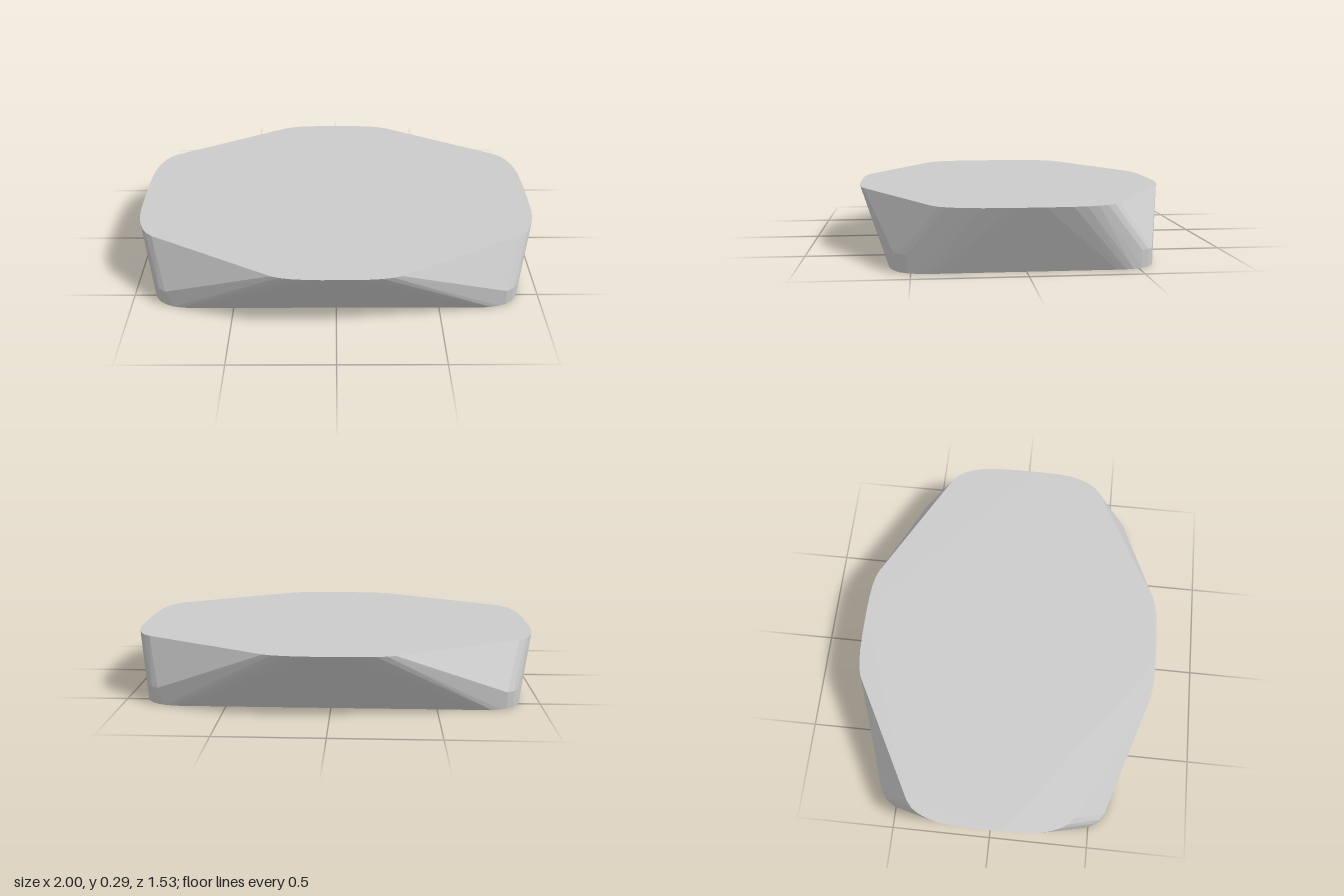
import * as THREE from 'three';
import { ConvexGeometry } from 'three/addons/geometries/ConvexGeometry.js';

// Quarter outlines as [x, z]; the other three quarters are mirrored.
const TOP = [[0.07, 0.765], [0.15, 0.762], [0.21, 0.757], [0.26, 0.748], [0.30, 0.735],
  [0.90, 0.41], [0.935, 0.38], [0.957, 0.345], [0.975, 0.30], [0.988, 0.25], [0.996, 0.19], [1, 0.07]];
const CORNER = [[0.83, 0.574], [0.864, 0.549], [0.888, 0.515]];
const BASE = [[0.71, 0.6], [0.755, 0.597], [0.795, 0.587], ...CORNER,
  [0.902, 0.475], [0.908, 0.44], [0.91, 0.40]];

function mirrored(outline, y) {
  const points = [];
  for (const sx of [1, -1]) {
    for (const sz of [1, -1]) {
      for (const [x, z] of outline) points.push(new THREE.Vector3(sx * x, y, sz * z));
    }
  }
  return points;
}

export function createModel() {
  const group = new THREE.Group();
  group.name = 'facetedSlab';

  // Wide top, smaller rectangular base, short upright corners under the sloped facets
  const geometry = new ConvexGeometry([
    ...mirrored(BASE, 0),
    ...mirrored(CORNER, 0.08),
    ...mirrored(TOP, 0.295),
  ]);
  const body = new THREE.Mesh(
    geometry,
    new THREE.MeshStandardMaterial({ color: 0xcccccc, flatShading: true }),
  );
  body.name = 'slabBody';
  group.add(body);
  return group;
}
